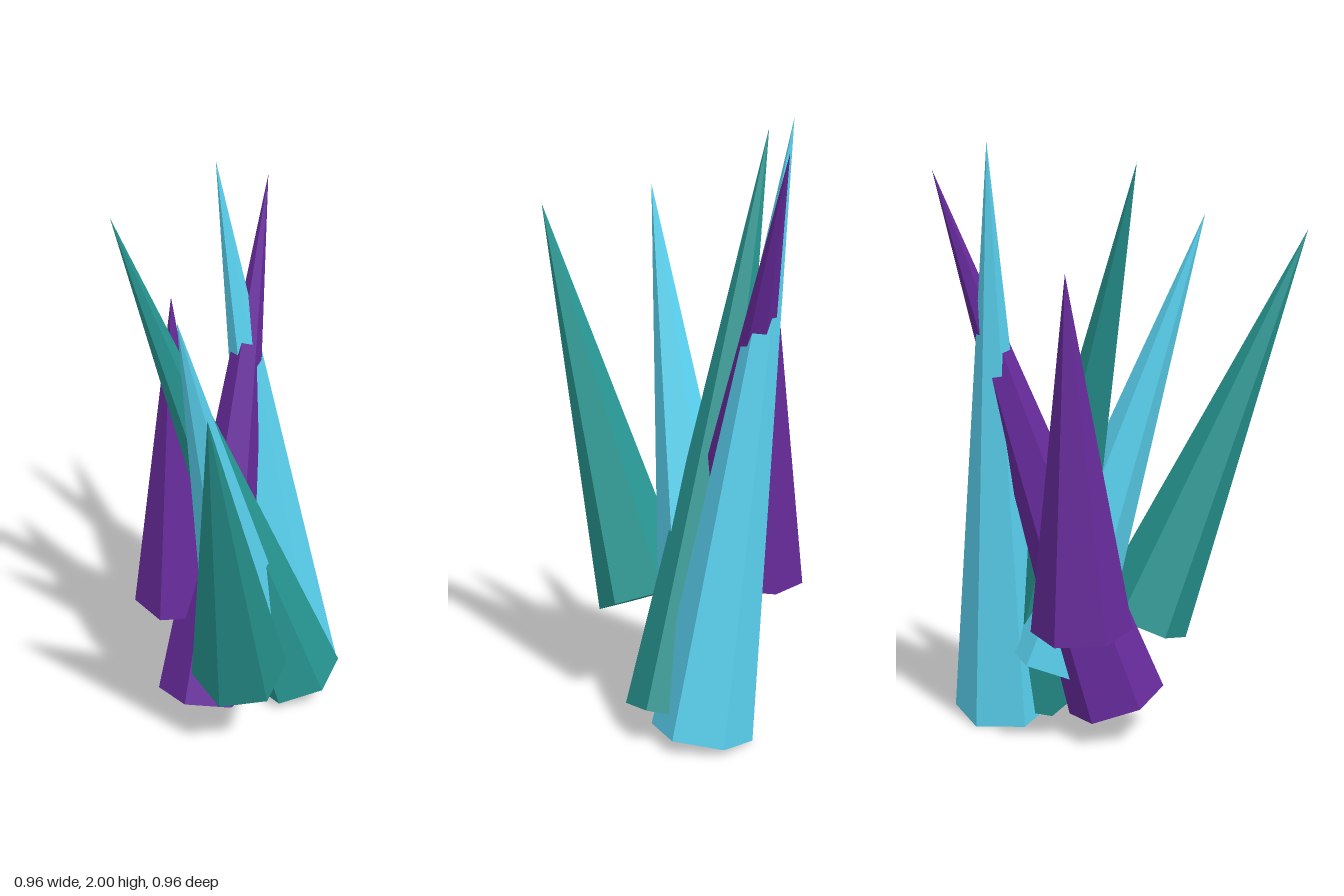
import * as THREE from 'three';

const CYAN = 0x5ad2f0, TEAL = 0x269490, PURPLE = 0x652a9a;
const RADIUS = 0.167;
const UP = new THREE.Vector3(0, 1, 0);

// name, colour, centre of the base, tip
const CRYSTALS = [
  ['tallCyanCrystal', CYAN, [0.335, 0.023, -0.178], [0.182, 2.0, -0.443]],
  ['leaningCyanCrystal', CYAN, [0.13, 0.24, -0.178], [-0.31, 1.758, 0.064]],
  ['tallTealCrystal', TEAL, [0.278, 0.068, -0.085], [-0.289, 1.95, -0.34]],
  ['frontTealCrystal', TEAL, [-0.083, 0.343, 0.06], [-0.482, 1.67, 0.48]],
  ['leaningPurpleCrystal', PURPLE, [-0.1, 0.12, -0.137], [0.393, 1.903, -0.44]],
  ['backPurpleCrystal', PURPLE, [-0.075, 0.423, -0.318], [-0.052, 1.6, -0.37]],
];

// Six-sided spike running from the base centre to the tip
function makeCrystal([name, color, base, tip]) {
  const from = new THREE.Vector3(...base);
  const axis = new THREE.Vector3(...tip).sub(from);
  const length = axis.length();
  const geometry = new THREE.ConeGeometry(RADIUS, length, 6).translate(0, length / 2, 0);
  const material = new THREE.MeshStandardMaterial({ color, flatShading: true });
  const mesh = new THREE.Mesh(geometry, material);
  mesh.name = name;
  mesh.position.copy(from);
  mesh.quaternion.setFromUnitVectors(UP, axis.normalize());
  return mesh;
}

export function createModel() {
  const group = new THREE.Group();
  group.name = 'crystalCluster';
  for (const crystal of CRYSTALS) group.add(makeCrystal(crystal));
  return group;
}
